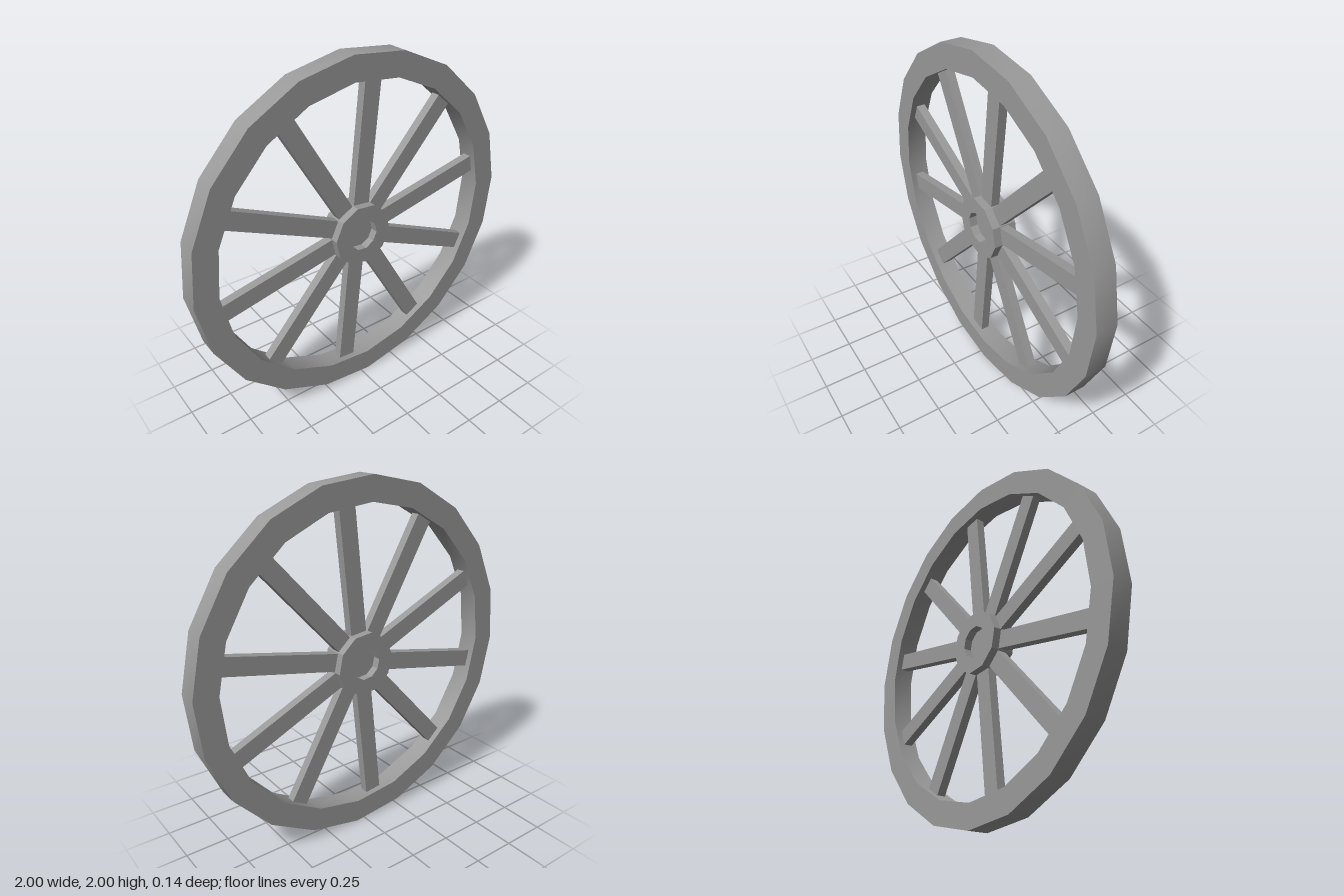
import * as THREE from 'three';
import { toCreasedNormals } from 'three/addons/utils/BufferGeometryUtils.js';

const SPOKES = 10;
const deg = THREE.MathUtils.degToRad;

// Points of a regular polygon, first corner at the given angle
function polygon(radius, sides, startDeg) {
  return Array.from({ length: sides }, (_, i) => {
    const a = deg(startDeg) + (i / sides) * Math.PI * 2;
    return new THREE.Vector2(Math.cos(a) * radius, Math.sin(a) * radius);
  });
}

// Polygonal ring extruded along z, centred on z = 0
function ringGeometry(outer, inner, sides, startDeg, depth) {
  const shape = new THREE.Shape(polygon(outer, sides, startDeg));
  if (inner > 0) shape.holes.push(new THREE.Path(polygon(inner, sides, startDeg)));
  const geo = new THREE.ExtrudeGeometry(shape, { depth, bevelEnabled: false });
  geo.translate(0, 0, -depth / 2);
  return toCreasedNormals(geo, deg(30));
}

export function createModel() {
  const wheel = new THREE.Group();
  wheel.name = 'wagonWheel';

  const grey = new THREE.MeshStandardMaterial({ color: 0x999999 });
  grey.name = 'grey';

  const add = (name, geometry) => {
    const mesh = new THREE.Mesh(geometry, grey);
    mesh.name = name;
    mesh.position.y = 1;
    wheel.add(mesh);
    return mesh;
  };

  // Rim with twenty sides
  add('rim', ringGeometry(1.0, 0.865, 20, 3, 0.12));

  // Hub with a shallow socket on both faces
  add('hub', ringGeometry(0.18, 0.09, SPOKES, 30, 0.14));
  add('hubCore', ringGeometry(0.1, 0, SPOKES, 30, 0.05));

  // Spokes, each meeting the middle of a rim side
  const start = 0.13, end = 0.858;
  const spokeGeo = new THREE.BoxGeometry(end - start, 0.1, 0.05);
  spokeGeo.translate((start + end) / 2, 0, 0);
  for (let i = 0; i < SPOKES; i++) {
    add('spoke' + (i + 1), spokeGeo).rotation.z = deg(12 + i * 360 / SPOKES);
  }

  return wheel;
}
